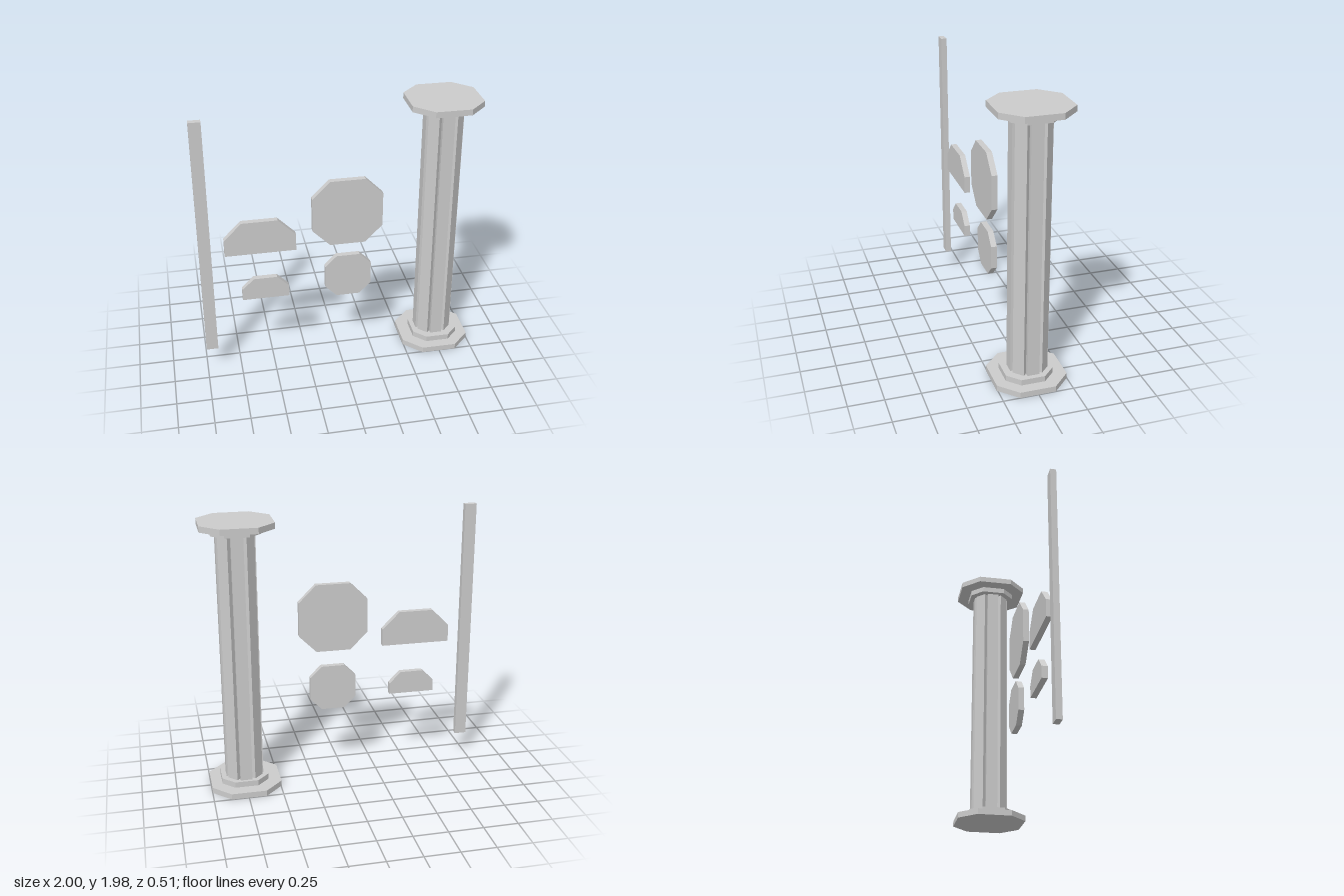
import * as THREE from 'three';

const T = 0.042; // board thickness
const SLAT_W = 0.085, SLAT_H = 1.81;

// Square board with corners cut at a quarter of its width, centred on its outline
function octagonShape(w) {
  const a = w / 2, b = w / 4;
  return new THREE.Shape([
    [b, -a], [a, -b], [a, b], [b, a], [-b, a], [-a, b], [-a, -b], [-b, -a],
  ].map(([x, y]) => new THREE.Vector2(x, y)));
}

// Upper half of the same board, standing on its cut edge
function halfShape(w) {
  const a = w / 2, b = w / 4;
  return new THREE.Shape([
    [-a, 0], [a, 0], [a, b], [b, a], [-b, a], [-a, b],
  ].map(([x, y]) => new THREE.Vector2(x, y)));
}

export function createModel() {
  const model = new THREE.Group();
  model.name = 'columnKit';
  const material = new THREE.MeshStandardMaterial({ color: 0xcccccc, flatShading: true });

  const add = (parent, name, geometry, x, y, z) => {
    const mesh = new THREE.Mesh(geometry, material);
    mesh.name = name;
    mesh.position.set(x, y, z);
    parent.add(mesh);
    return mesh;
  };
  const board = (shape) => new THREE.ExtrudeGeometry(shape, { depth: T, bevelEnabled: false });
  const slat = () => new THREE.BoxGeometry(SLAT_W, SLAT_H, T);

  // Assembled column: two stacked plates at each end
  const column = new THREE.Group();
  column.name = 'column';
  model.add(column);
  const plates = [
    ['basePlate', 0.505, 0.747, 0.002, 0.004],
    ['baseCollar', 0.338, 0.753, 0.044, 0.012],
    ['topCollar', 0.338, 0.753, 1.893, -0.002],
    ['topPlate', 0.505, 0.747, 1.933, -0.002],
  ];
  for (const [name, w, x, y, z] of plates) {
    add(column, name, board(octagonShape(w)).rotateX(-Math.PI / 2), x, y, z);
  }

  // Ring of eight upright slats forming the shaft
  const shaft = new THREE.Group();
  shaft.name = 'shaft';
  shaft.position.set(0.752, 0.085 + SLAT_H / 2, 0);
  column.add(shaft);
  for (let i = 0; i < 8; i++) {
    const angle = (i * Math.PI) / 4, r = 0.135 - T / 2;
    const s = add(shaft, 'shaftSlat', slat(), Math.sin(angle) * r, 0, Math.cos(angle) * r);
    s.rotation.y = angle;
  }

  // Loose pieces laid out beside the column
  add(model, 'looseSlat', slat(), -0.957, 0.175 + SLAT_H / 2, 0.119);
  add(model, 'looseLargeOctagon', board(octagonShape(0.505)), 0.058, 1.207, 0.076);
  add(model, 'looseSmallOctagon', board(octagonShape(0.338)), 0.067, 0.674, 0.057);
  add(model, 'looseLargeHalf', board(halfShape(0.505)), -0.568, 0.955, 0.094);
  add(model, 'looseSmallHalf', board(halfShape(0.338)), -0.542, 0.568, 0.083);

  return model;
}
